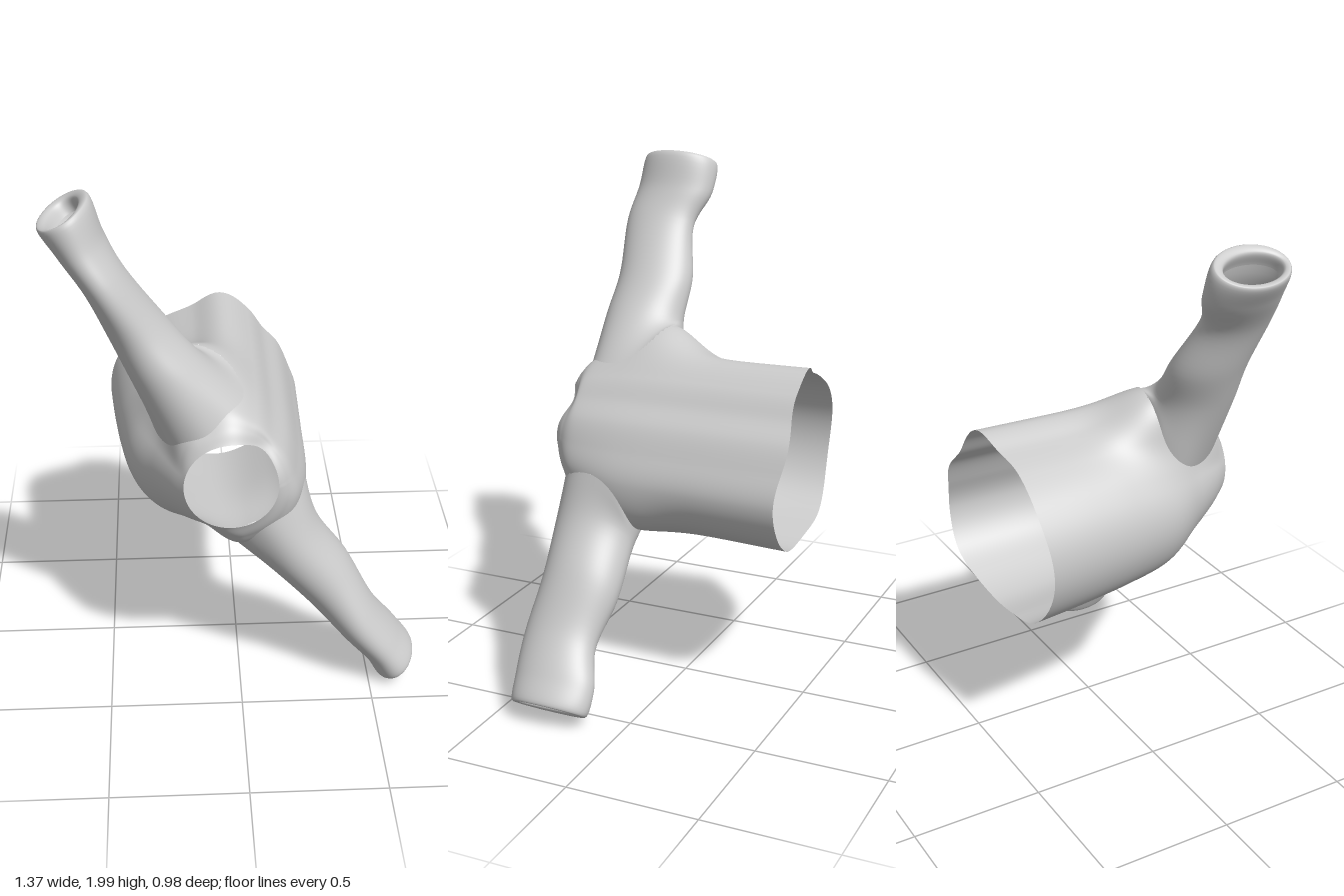
import * as THREE from 'three';

const material = new THREE.MeshStandardMaterial({ color: 0xcccccc, side: THREE.DoubleSide });
const CX = -0.04, CY = 0.97, HOLE = 0.17;

// Outer radius of the sleeve, every 22.5 degrees from +x
const RADII = [0.275, 0.25, 0.24, 0.28, 0.325, 0.305, 0.335, 0.39,
  0.44, 0.46, 0.455, 0.405, 0.39, 0.37, 0.365, 0.335];

// Sleeve profiles: spread from hole (0) to full outline (1), against z
const makeProfile = (list) => new THREE.CatmullRomCurve3(
  list.map(([s, z]) => new THREE.Vector3(s, z, 0))).getPoints(96);
const rounded = makeProfile([[0, 0.49], [0.3, 0.458], [0.62, 0.39], [0.82, 0.25],
  [0.9, 0.12], [0.95, -0.12], [1, -0.45]]);
const sloped = makeProfile([[0, 0.49], [0.16, 0.43], [0.42, 0.31], [0.74, 0.15],
  [0.86, -0.03], [0.93, -0.2], [1, -0.45]]);

// Swellings where the wall runs up into a branch: angle, width, height
const SWELLS = [[1.99, 0.38, 0.16], [-0.95, 0.42, 0.045]];

function outerRadius(angle) {
  const n = RADII.length;
  const u = ((angle / (2 * Math.PI)) % 1 + 1) % 1 * n;
  const i = Math.floor(u), f = u - i;
  const [a, b, c, d] = [-1, 0, 1, 2].map((k) => RADII[(i + k + n) % n]);
  return b + 0.5 * f * (c - a + f * (2 * a - 5 * b + 4 * c - d + f * (3 * (b - c) + d - a)));
}

function spreadAt(profile, z) {
  for (let i = 1; i < profile.length; i++) {
    const p = profile[i - 1], q = profile[i];
    if (z >= q.y) return Math.max(0, p.x + (q.x - p.x) * (z - p.y) / (q.y - p.y));
  }
  return 1;
}

const angleGap = (a, b) => Math.atan2(Math.sin(a - b), Math.cos(a - b));

// Sleeve surface, with the lower right flank falling away in a slope
function sleevePoint(angle, z) {
  const slope = THREE.MathUtils.smoothstep(Math.cos(angle - 3.55), 0.2, 0.8);
  const s = THREE.MathUtils.lerp(spreadAt(rounded, z), spreadAt(sloped, z), slope);
  let r = HOLE + (outerRadius(angle) - HOLE) * s;
  for (const [at, width, height] of SWELLS) {
    r += s * height * Math.exp(-((angleGap(angle, at) / width) ** 2) - ((z - 0.18) / 0.18) ** 2);
  }
  return new THREE.Vector3(CX + r * Math.cos(angle), CY + r * Math.sin(angle), z);
}

// Skin closed rings of points, leaving out faces the cut test rejects
function skin(name, rings, cut = () => false) {
  const n = rings[0].length, index = [];
  const points = rings.flat();
  const face = (...ids) => {
    const mid = new THREE.Vector3();
    ids.forEach((k) => mid.addScaledVector(points[k], 1 / 3));
    if (!cut(mid)) index.push(...ids);
  };
  for (let i = 0; i < rings.length - 1; i++) {
    for (let j = 0; j < n; j++) {
      const a = i * n + j, b = i * n + (j + 1) % n;
      face(a, a + n, b);
      face(b, a + n, b + n);
    }
  }
  const geometry = new THREE.BufferGeometry().setFromPoints(points);
  geometry.setIndex(index);
  geometry.computeVertexNormals();
  const mesh = new THREE.Mesh(geometry, material);
  mesh.name = name;
  return mesh;
}

// Where each branch opens into the sleeve: angle, half angle, z, half depth
const MOUTHS = {
  upper: { angle: 2.06, spread: 0.68, z: 0.295, depth: 0.165 },
  lower: { angle: -0.95, spread: 0.6, z: 0.295, depth: 0.165 },
};

function inMouth(p, { angle, spread, z, depth }) {
  const u = angleGap(Math.atan2(p.y - CY, p.x - CX), angle) / spread;
  return u * u + ((p.z - z) / depth) ** 2 < 0.95;
}

// A branch starts on its mouth and runs through elliptical sections, each
// given by two in-plane edge points, then back and front z
function branch(name, mouth, sections, steps = 8, sides = 64) {
  const lines = Array.from({ length: sides }, (_, j) => {
    const c = Math.cos(j / sides * 2 * Math.PI), s = Math.sin(j / sides * 2 * Math.PI);
    const start = sleevePoint(mouth.angle - mouth.spread * c, mouth.z + mouth.depth * s);
    const rest = sections.map(([ax, ay, bx, by, z0, z1]) => new THREE.Vector3(
      (ax + bx + (bx - ax) * c) / 2, (ay + by + (by - ay) * c) / 2, (z0 + z1 + (z1 - z0) * s) / 2));
    return new THREE.CatmullRomCurve3([start, ...rest]).getPoints(sections.length * steps);
  });
  return skin(name, lines[0].map((_, i) => lines.map((line) => line[i])));
}

export function createModel() {
  const group = new THREE.Group();

  // Hollow sleeve: round front hole, shoulder, then a wavy open back
  const sides = 200;
  const rings = rounded.map(({ y: z }) => Array.from({ length: sides }, (_, j) => {
    const a = j / sides * 2 * Math.PI;
    const front = THREE.MathUtils.smoothstep(z, 0.4, 0.49);
    const back = THREE.MathUtils.smoothstep(-z, 0.1, 0.45);
    const p = sleevePoint(a, z);
    p.z -= 0.045 * Math.exp(-(((a - 0.85) / 0.45) ** 2)) * front
      + (0.033 * Math.cos(a - 0.5) + 0.008 * Math.sin(5 * a)) * back;
    return p;
  }));
  group.add(skin('sleeve', rings, (p) => inMouth(p, MOUTHS.upper) || inMouth(p, MOUTHS.lower)));

  // Upper and lower branches, each ending in a lip folded inwards
  group.add(branch('upperBranch', MOUTHS.upper, [
    [-0.395, 1.34, -0.14, 1.40, 0.14, 0.455],
    [-0.465, 1.50, -0.25, 1.53, 0.14, 0.445],
    [-0.54, 1.68, -0.40, 1.75, 0.18, 0.465],
    [-0.63, 1.81, -0.46, 1.86, 0.135, 0.45],
    [-0.685, 1.90, -0.51, 1.995, 0.14, 0.435],
    [-0.66, 1.905, -0.54, 1.975, 0.17, 0.415],
    [-0.625, 1.87, -0.52, 1.925, 0.18, 0.41],
  ]));
  group.add(branch('lowerBranch', MOUTHS.lower, [
    [0.295, 0.71, 0.13, 0.50, 0.13, 0.455],
    [0.41, 0.54, 0.275, 0.34, 0.13, 0.445],
    [0.52, 0.34, 0.40, 0.20, 0.165, 0.46],
    [0.62, 0.20, 0.49, 0.09, 0.125, 0.45],
    [0.68, 0.11, 0.54, 0.01, 0.135, 0.435],
    [0.655, 0.10, 0.56, 0.03, 0.17, 0.415],
    [0.62, 0.14, 0.535, 0.075, 0.18, 0.41],
  ]));
  return group;
}
